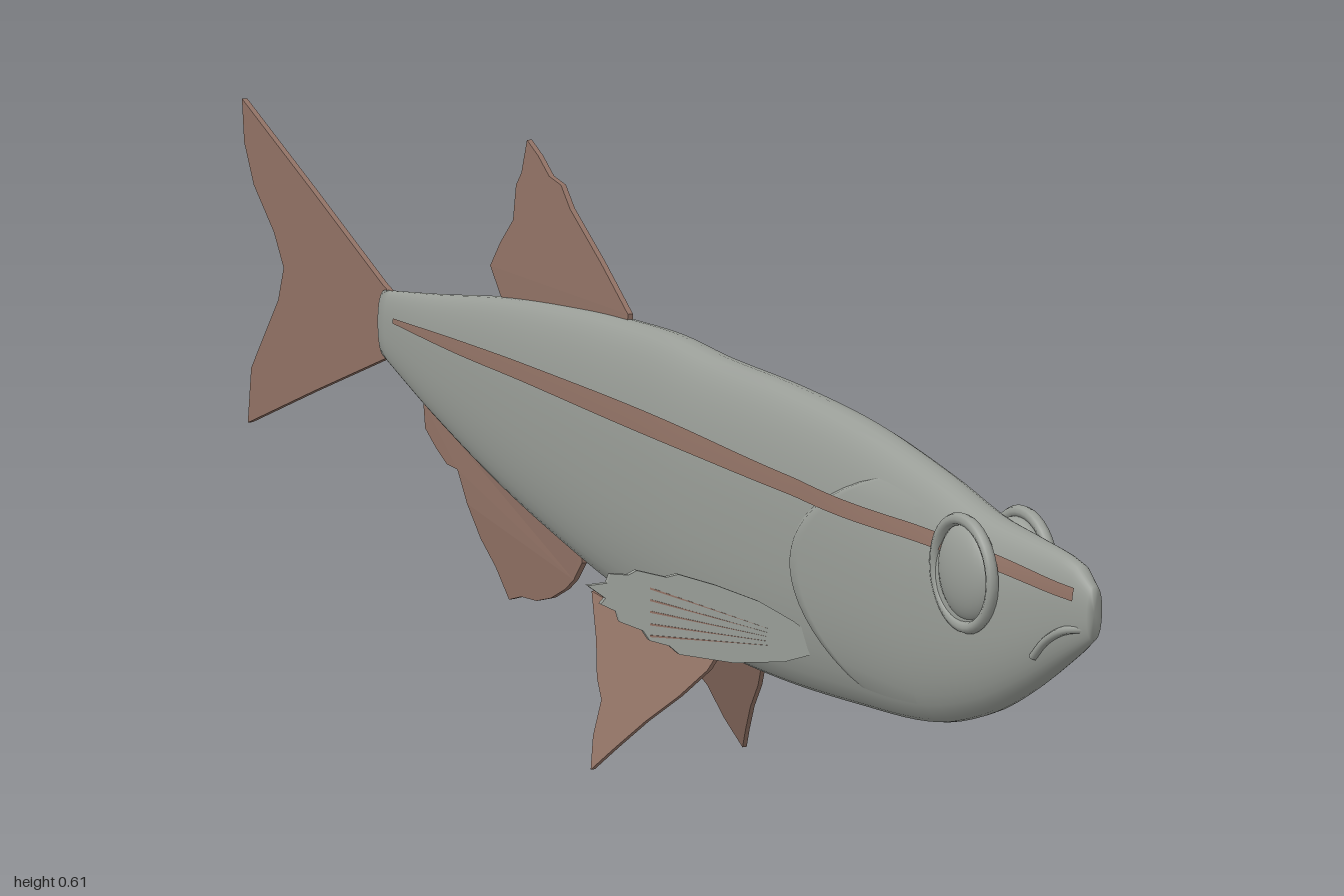
import * as THREE from 'three';
import { mergeVertices } from 'three/addons/utils/BufferGeometryUtils.js';

// Body stations: z, top y, bottom y, half width
const STATIONS = [
  [1, 0.385, 0.335, 0.008], [0.975, 0.4, 0.315, 0.015], [0.9, 0.407, 0.262, 0.026],
  [0.83, 0.412, 0.222, 0.034], [0.74, 0.43, 0.19, 0.039], [0.6, 0.45, 0.17, 0.043],
  [0.45, 0.457, 0.155, 0.045], [0.3, 0.457, 0.149, 0.045], [0.2, 0.461, 0.153, 0.044],
  [0.1, 0.457, 0.16, 0.042], [0, 0.45, 0.172, 0.039], [-0.2, 0.428, 0.205, 0.031],
  [-0.4, 0.396, 0.25, 0.02], [-0.555, 0.373, 0.292, 0.01],
];
const POWER = 2.3;

// Smooth (Hermite) lookup in a table whose first column is descending z
function sample(table, z, col) {
  let i = 0;
  while (i < table.length - 2 && z < table[i + 1][0]) i++;
  const slope = (k) => {
    const a = table[Math.max(k - 1, 0)], b = table[Math.min(k + 1, table.length - 1)];
    return (b[col] - a[col]) / (b[0] - a[0]);
  };
  const p = table[i], q = table[i + 1], d = q[0] - p[0];
  const t = THREE.MathUtils.clamp((z - p[0]) / d, 0, 1), t2 = t * t, t3 = t2 * t;
  return (2 * t3 - 3 * t2 + 1) * p[col] + (t3 - 2 * t2 + t) * d * slope(i)
    + (3 * t2 - 2 * t3) * q[col] + (t3 - t2) * d * slope(i + 1);
}

function section(z) {
  const top = sample(STATIONS, z, 1), bottom = sample(STATIONS, z, 2);
  return { c: (top + bottom) / 2, h: (top - bottom) / 2, w: sample(STATIONS, z, 3) };
}

// Half width of the body skin at a given height
function skinX(z, y) {
  const { c, h, w } = section(z);
  const t = Math.min(1, Math.abs((y - c) / h));
  return w * Math.pow(1 - Math.pow(t, POWER), 1 / POWER);
}

// Smooth surface from a rule (u, v) -> [x, y, z]
function surface(nu, nv, rule) {
  const pos = [], idx = [];
  for (let i = 0; i <= nu; i++) {
    for (let j = 0; j <= nv; j++) {
      pos.push(...rule(i / nu, j / nv));
      if (i < nu && j < nv) {
        const a = i * (nv + 1) + j, b = a + 1, c = a + nv + 1, d = c + 1;
        idx.push(a, c, b, c, d, b);
      }
    }
  }
  let geo = new THREE.BufferGeometry();
  geo.setAttribute('position', new THREE.Float32BufferAttribute(pos, 3));
  geo.setIndex(idx);
  geo = mergeVertices(geo, 1e-6);
  geo.computeVertexNormals();
  return geo;
}

// Thin plate from an outline, then bent into place by a rule (a, b, depth) -> [x, y, z]
function plate(outline, thickness, rule) {
  const shape = new THREE.Shape(outline.map(([a, b]) => new THREE.Vector2(a, b)));
  const geo = new THREE.ExtrudeGeometry(shape, { depth: thickness, bevelEnabled: false });
  geo.translate(0, 0, -thickness / 2);
  const p = geo.attributes.position;
  for (let i = 0; i < p.count; i++) p.setXYZ(i, ...rule(p.getX(i), p.getY(i), p.getZ(i)));
  geo.computeVertexNormals();
  return geo;
}

// Upright fin given as [z, y] points, leaning sideways by lean(y)
function uprightFin(points, thickness, lean) {
  return plate(points.map(([z, y]) => [-z, y]), thickness, (a, b, d) => [d + lean(b), b, -a]);
}

export function createModel() {
  const group = new THREE.Group();
  const silver = new THREE.MeshStandardMaterial({ color: 0x999d97 });
  silver.name = 'silver grey';
  const brown = new THREE.MeshStandardMaterial({ color: 0x917265 });
  brown.name = 'fin brown';

  const add = (name, geo, mat) => {
    const mesh = new THREE.Mesh(geo, mat);
    mesh.name = name;
    group.add(mesh);
    return mesh;
  };
  const addPair = (name, geo, mat) => {
    add('left' + name, geo, mat);
    add('right' + name, geo, mat).scale.x = -1;
  };

  // Body, closed at snout and tail root
  const rows = 72;
  add('body', surface(rows, 40, (u, v) => {
    const i = Math.round(u * rows);
    const z = THREE.MathUtils.lerp(1, -0.555, (Math.min(Math.max(i, 1), rows - 1) - 1) / (rows - 2));
    const k = i === 0 || i === rows ? 0 : 1;
    const { c, h, w } = section(z), a = v * Math.PI * 2 - Math.PI / 2;
    const bend = (s) => Math.sign(s) * Math.pow(Math.abs(s) < 1e-9 ? 0 : Math.abs(s), 2 / POWER);
    return [k * w * bend(Math.cos(a)), c + k * h * bend(Math.sin(a)), z];
  }), silver);

  // Side stripe: z, centre y, half height
  const stripe = [[0.985, 0.375, 0.006], [0.85, 0.38, 0.007], [0.5, 0.375, 0.009],
    [0.2, 0.373, 0.012], [-0.1, 0.365, 0.01], [-0.3, 0.356, 0.008], [-0.5, 0.347, 0.003]];
  addPair('Stripe', surface(70, 4, (u, v) => {
    const z = 0.985 - 1.485 * u;
    const y = sample(stripe, z, 1) + (v * 2 - 1) * sample(stripe, z, 2);
    const overGill = z > 0.53 && z < 0.74 ? 0.0055 * Math.sin(Math.PI * (0.74 - z) / 0.21) : 0;
    return [skinX(z, y) + 0.0015 + overGill, y, z];
  }), brown);

  // Gill cover, swelling backwards to a rounded edge
  addPair('GillCover', surface(16, 20, (u, v) => {
    const y = 0.2 + 0.215 * v;
    const back = 0.71 - 0.19 * Math.pow(Math.sin(Math.PI * Math.min(1, 0.08 + v * 0.88)), 0.7);
    const z = THREE.MathUtils.lerp(0.76, back, u);
    const swell = u > 0.99 ? -0.002 : 0.007 * u * Math.sqrt(Math.sin(Math.PI * v) + 1e-9);
    return [skinX(z, y) + swell - 0.0005, y, z];
  }), silver);

  // Eyes with a raised rim
  const eye = new THREE.SphereGeometry(0.046, 28, 20).scale(0.4, 1, 1).translate(0.026, 0.36, 0.83);
  addPair('Eye', eye, silver);
  const rim = new THREE.TorusGeometry(0.05, 0.006, 8, 36).rotateY(Math.PI / 2).translate(0.032, 0.36, 0.83);
  addPair('EyeRim', rim, silver);

  // Lips along the mouth
  const lip = new THREE.CatmullRomCurve3([[1, 0.345], [0.975, 0.34], [0.95, 0.325], [0.93, 0.305]]
    .map(([z, y]) => new THREE.Vector3(z === 1 ? 0.003 : skinX(z, y), y, z === 1 ? 0.996 : z)));
  addPair('Lip', new THREE.TubeGeometry(lip, 16, 0.004, 8), silver);

  // Tail, back and anal fins
  add('tailFin', uprightFin([[-0.53, 0.37], [-0.56, 0.378], [-0.78, 0.46], [-1, 0.54], [-0.995, 0.485],
    [-0.965, 0.435], [-0.9, 0.385], [-0.87, 0.345], [-0.89, 0.3], [-0.94, 0.245], [-0.985, 0.195],
    [-1, 0.12], [-0.78, 0.205], [-0.56, 0.288], [-0.53, 0.3]], 0.007, () => 0.003), brown);
  add('backFin', uprightFin([[0.09, 0.44], [0.09, 0.462], [0.02, 0.505], [-0.06, 0.55], [-0.085, 0.572],
    [-0.115, 0.577], [-0.145, 0.595], [-0.175, 0.608], [-0.185, 0.57], [-0.197, 0.555], [-0.2, 0.515],
    [-0.23, 0.485], [-0.253, 0.455], [-0.22, 0.42], [-0.05, 0.42]], 0.006,
    (y) => Math.max(0, y - 0.45) * 0.06), brown);
  add('analFin', uprightFin([[-0.02, 0.185], [-0.02, 0.165], [-0.045, 0.14], [-0.07, 0.123], [-0.11, 0.103],
    [-0.15, 0.09], [-0.19, 0.085], [-0.225, 0.073], [-0.255, 0.105], [-0.29, 0.13], [-0.32, 0.165],
    [-0.345, 0.2], [-0.375, 0.2], [-0.405, 0.213], [-0.435, 0.23], [-0.44, 0.262], [-0.3, 0.245]], 0.006,
    (y) => Math.max(0, 0.17 - y) * 0.09), brown);

  // Splayed pelvic fins
  addPair('PelvicFin', uprightFin([[0.345, 0.165], [0.335, 0.14], [0.3, 0.105], [0.255, 0.068], [0.215, 0.03],
    [0.185, 0], [0.165, 0.03], [0.155, 0.065], [0.13, 0.082], [0.1, 0.115], [0.055, 0.155], [0.2, 0.152]],
    0.005, (y) => 0.021 + (0.165 - y) * 0.42), brown);

  // Pectoral fins swept outwards and back, with brown rays on both faces
  const sweep = (x) => 0.54 - (x - 0.04) * 1.65;
  addPair('PectoralFin', plate([[0.03, 0.215], [0.05, 0.2], [0.08, 0.19], [0.112, 0.189], [0.118, 0.196],
    [0.13, 0.198], [0.134, 0.207], [0.148, 0.212], [0.15, 0.222], [0.16, 0.227], [0.157, 0.234],
    [0.168, 0.244], [0.156, 0.25], [0.154, 0.26], [0.143, 0.262], [0.138, 0.268], [0.12, 0.266],
    [0.113, 0.271], [0.09, 0.266], [0.065, 0.257], [0.045, 0.243], [0.03, 0.228]], 0.005,
    (x, y, d) => [x, y, sweep(x) + d]), silver);
  [0.203, 0.215, 0.228, 0.24, 0.252].forEach((y, i) => {
    addPair('PectoralRay' + (i + 1), plate([[0.06, 0.22 + (y - 0.22) * 0.35], [0.13, y - 0.001], [0.13, y + 0.001]],
      0.007, (x, b, d) => [x, b, sweep(x) + d]), brown);
  });

  return group;
}
